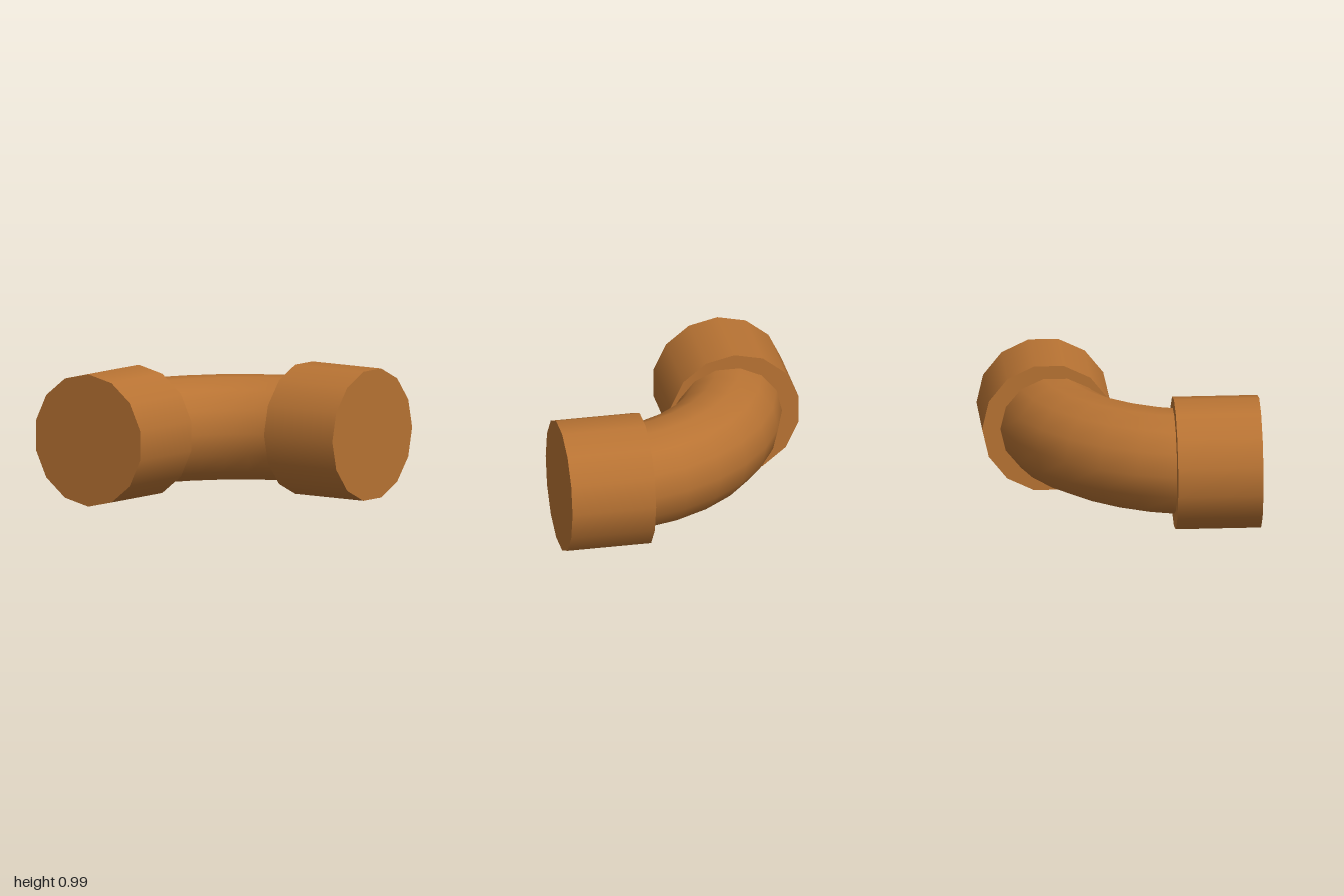
import * as THREE from 'three';

export function createModel() {
  const group = new THREE.Group();
  const copper = new THREE.MeshStandardMaterial({ color: 0xb87333 });
  copper.name = 'copper';

  const SIDES = 14;
  const COLLAR_R = 0.495, COLLAR_L = 0.633;
  const PIPE_R = 0.392, BEND_R = 1.188;
  const AXIS_Y = 0.495;
  // centre of the quarter bend
  const CX = 0.677, CZ = 0.683;

  const add = (name, geometry, x, z) => {
    const mesh = new THREE.Mesh(geometry, copper);
    mesh.name = name;
    mesh.position.set(x, AXIS_Y, z);
    group.add(mesh);
  };

  // quarter-turn pipe, its ends hidden inside the collars
  const bend = new THREE.TorusGeometry(BEND_R, PIPE_R, SIDES, 8, Math.PI / 2);
  bend.rotateX(Math.PI / 2).rotateY(Math.PI);
  add('pipeBend', bend, CX, CZ);

  // solid collars around both ends
  const collar = () => new THREE.CylinderGeometry(COLLAR_R, COLLAR_R, COLLAR_L, SIDES);
  add('frontCollar', collar().rotateX(Math.PI / 2), CX - BEND_R, CZ);
  add('sideCollar', collar().rotateZ(Math.PI / 2), CX, CZ - BEND_R);

  return group;
}
